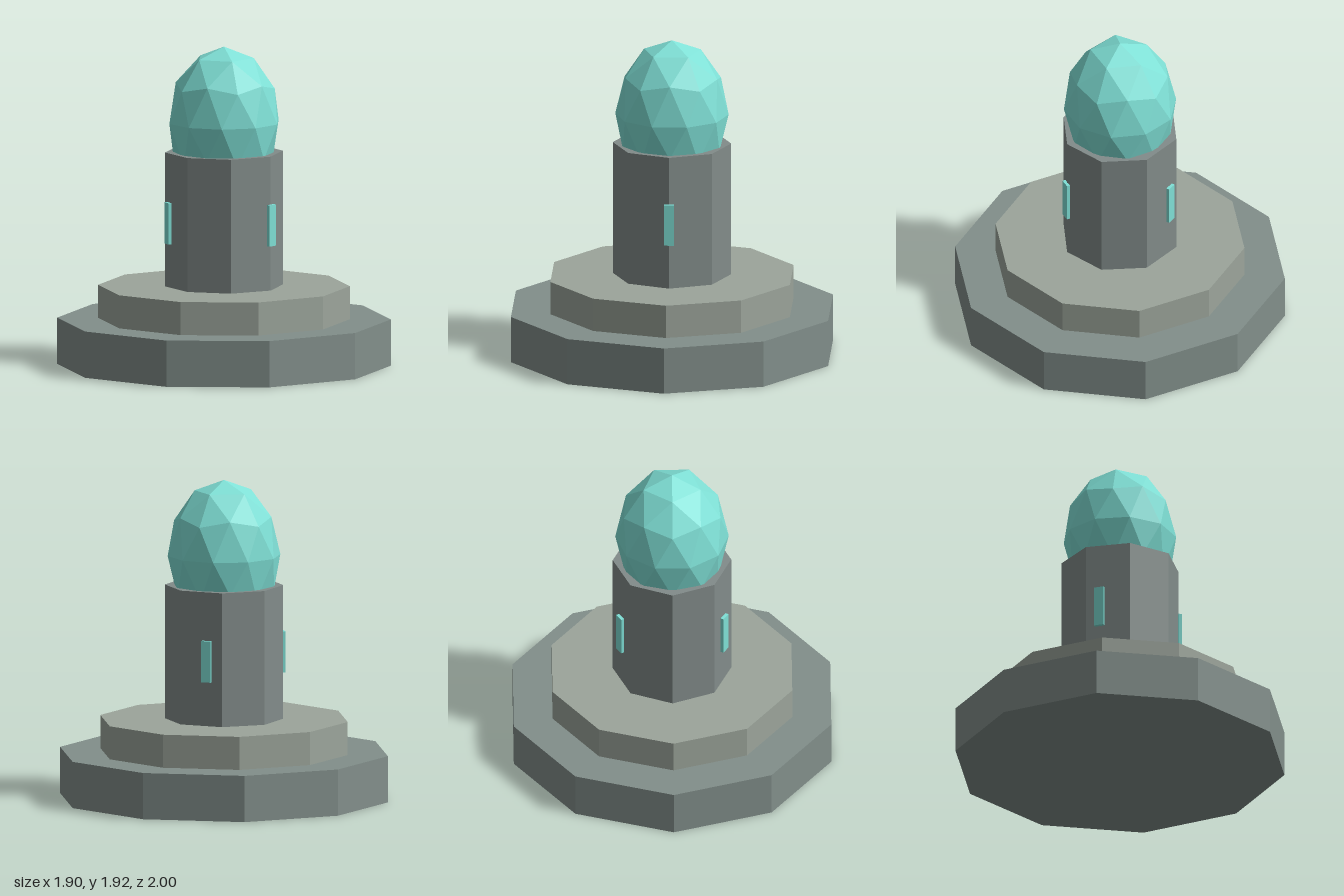
import * as THREE from 'three';

const material = (color) => new THREE.MeshStandardMaterial({ color, flatShading: true });

export function createModel() {
  const group = new THREE.Group();
  const glow = material(0x7fe0d6);

  const add = (name, geometry, mat) => {
    const mesh = new THREE.Mesh(geometry, mat);
    mesh.name = name;
    group.add(mesh);
    return mesh;
  };

  // Upright prism with a corner on +z
  const prism = (name, radius, y0, y1, sides, color) => {
    const geometry = new THREE.CylinderGeometry(radius, radius, y1 - y0, sides);
    add(name, geometry, material(color)).position.y = (y0 + y1) / 2;
  };

  // Stepped base and octagonal column
  prism('base', 1, 0, 0.28, 10, 0x828f8b);
  prism('plinth', 0.755, 0.28, 0.48, 10, 0x9ca59b);
  prism('column', 0.355, 0.48, 1.29, 8, 0x828c8a);

  // Faceted crystal dome, turned so that one corner points straight up
  const dome = new THREE.IcosahedronGeometry(1, 1);
  dome.rotateX(Math.atan((1 + Math.sqrt(5)) / 2));
  dome.scale(0.34, 0.455, 0.34);
  dome.computeVertexNormals();
  add('crystalDome', dome, glow).position.y = 1.47;

  // Three slim windows around the column
  for (let i = 0; i < 3; i++) {
    const angle = (i * Math.PI * 2) / 3;
    const pane = add('window', new THREE.BoxGeometry(0.06, 0.25, 0.02), glow);
    pane.position.set(Math.sin(angle) * 0.361, 0.875, Math.cos(angle) * 0.361);
    pane.rotation.y = angle;
  }

  return group;
}
